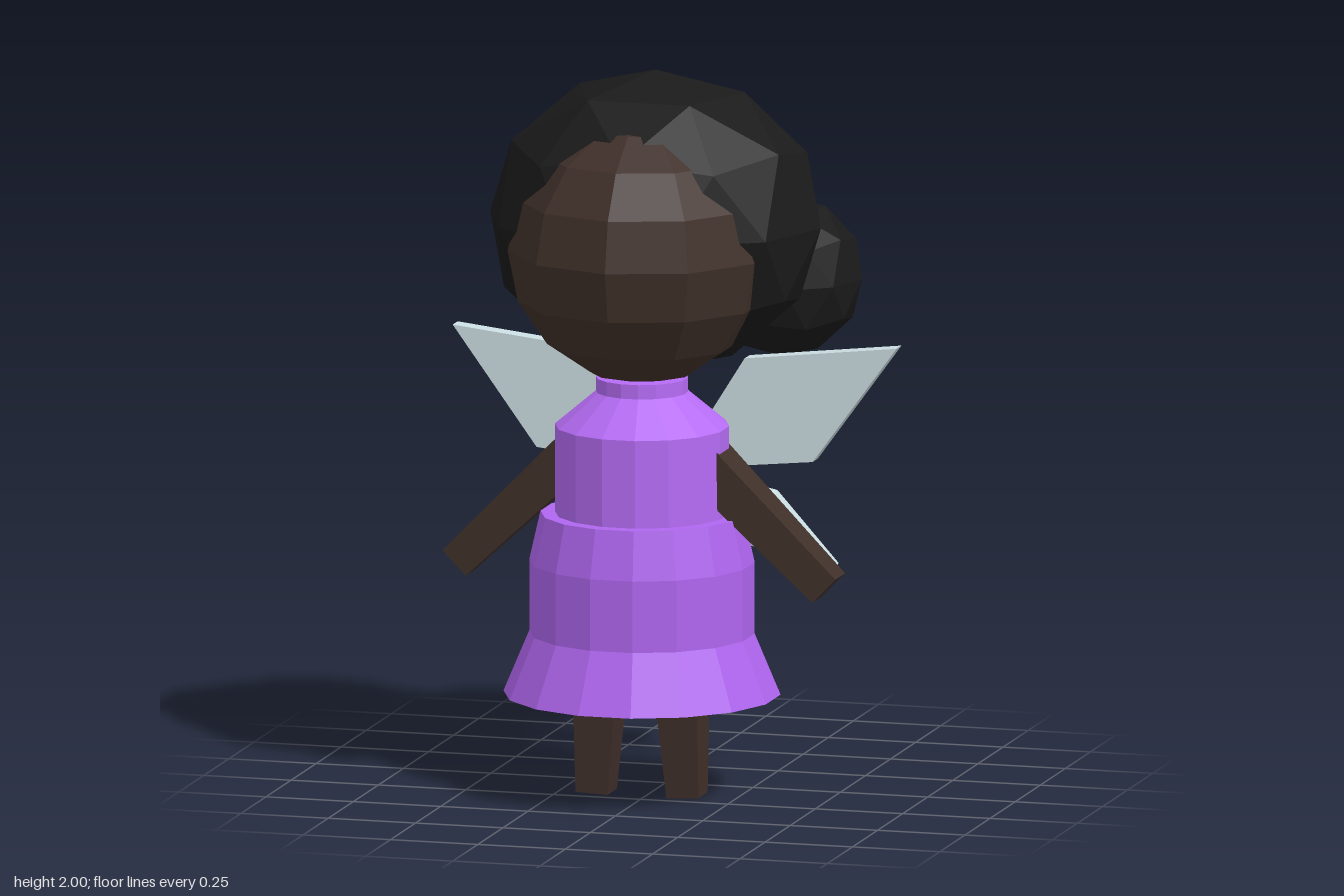
import * as THREE from 'three';

const paint = (color) => new THREE.MeshStandardMaterial({ color, flatShading: true });
const skin = paint(0x40302a);
const hair = paint(0x1a1a1a);
const cloth = paint(0xb066f0);
const clothLight = paint(0xb66cf5);
const wingMat = paint(0xcbdde1);

const AXIS_X = -0.02;
const AXIS_Z = 0.165;

export function createModel() {
  const model = new THREE.Group();
  model.name = 'wingedDoll';

  const add = (name, geometry, material, x = 0, y = 0, z = 0) => {
    const mesh = new THREE.Mesh(geometry, material);
    mesh.name = name;
    mesh.position.set(x, y, z);
    model.add(mesh);
    return mesh;
  };

  // Sixteen-sided turned shape with a flat side facing forward
  const turned = (name, profile, material) => {
    const k = 1 / Math.cos(Math.PI / 16);
    const points = profile.map(([r, y]) => new THREE.Vector2(r * k, y));
    add(name, new THREE.LatheGeometry(points, 16, Math.PI / 16), material, AXIS_X, 0, AXIS_Z);
  };

  // Faceted ball standing on a vertex
  const ball = (name, rx, ry, rz, x, y, z) => {
    const g = new THREE.IcosahedronGeometry(1, 1);
    g.rotateX(Math.atan((1 + Math.sqrt(5)) / 2));
    g.scale(rx, ry, rz);
    add(name, g, hair, x, y, z);
  };

  // Square limb tapering from top to bottom
  const limb = (name, top, bottom, topSize, bottomSize) => {
    const a = new THREE.Vector3(...top);
    const b = new THREE.Vector3(...bottom);
    const g = new THREE.BoxGeometry(1, a.distanceTo(b), 1);
    const p = g.attributes.position;
    for (let i = 0; i < p.count; i++) {
      const size = p.getY(i) > 0 ? topSize : bottomSize;
      p.setX(i, p.getX(i) * size[0]);
      p.setZ(i, p.getZ(i) * size[1]);
    }
    const mesh = add(name, g, skin);
    mesh.position.copy(a).add(b).multiplyScalar(0.5);
    mesh.quaternion.setFromUnitVectors(new THREE.Vector3(0, 1, 0), a.sub(b).normalize());
  };

  // Four-cornered wing panel, its root at the origin
  const wing = (name, corners, side, depth, tilt, y, z) => {
    const shape = new THREE.Shape(corners.map(([px, py]) => new THREE.Vector2(px * side, py)));
    const g = new THREE.ExtrudeGeometry(shape, { depth, bevelEnabled: false });
    g.translate(0, 0, -depth / 2);
    add(name, g, wingMat, 0, y, z).rotation.x = tilt;
  };

  // Dress
  turned('skirt', [[0, 0.28], [0.375, 0.28], [0.305, 0.45], [0.305, 0.65], [0.275, 0.785], [0, 0.785]], cloth);
  turned('bodice', [[0.236, 0.77], [0.236, 1.03], [0.125, 1.125], [0.125, 1.165], [0, 1.165]], clothLight);

  // Head
  const face = new THREE.SphereGeometry(0.37, 10, 8);
  face.rotateY(Math.PI / 2);
  add('head', face, skin, AXIS_X, 1.52, AXIS_Z);

  // Hair
  ball('hair', 0.473, 0.42, 0.402, AXIS_X, 1.58, 0.03);

  for (const side of [1, -1]) {
    const label = side > 0 ? 'left' : 'right';
    const x = (offset) => AXIS_X + side * offset;

    ball(label + 'HairBun', 0.23, 0.226, 0.23, x(0.263), 1.375, -0.31);

    // Arms and legs
    const drop = side > 0 ? 0 : 0.018;
    const armZ = side > 0 ? 0.16 : 0.136;
    limb(label + 'Arm', [x(0.17), 0.95 + drop, armZ], [x(0.5325), 0.6 + drop, armZ], [0.12, 0.135], [0.095, 0.098]);
    limb(label + 'Leg', [x(0.112), 0.4, 0.174], [x(0.13), 0, 0.17], [0.133, 0.14], [0.092, 0.092]);

    // Wings
    wing(label + 'UpperWing', [[0, 0.86], [0.395, 0.9], [0.635, 1.23], [0.2, 1.18]], side, 0.05, 0, 0, -0.115);
    wing(label + 'LowerWing', [[0, 0], [0.155, -0.22], [0.43, -0.285], [0.275, -0.065]], side, 0.03, 0.32, 0.86, -0.122);
  }

  return model;
}
